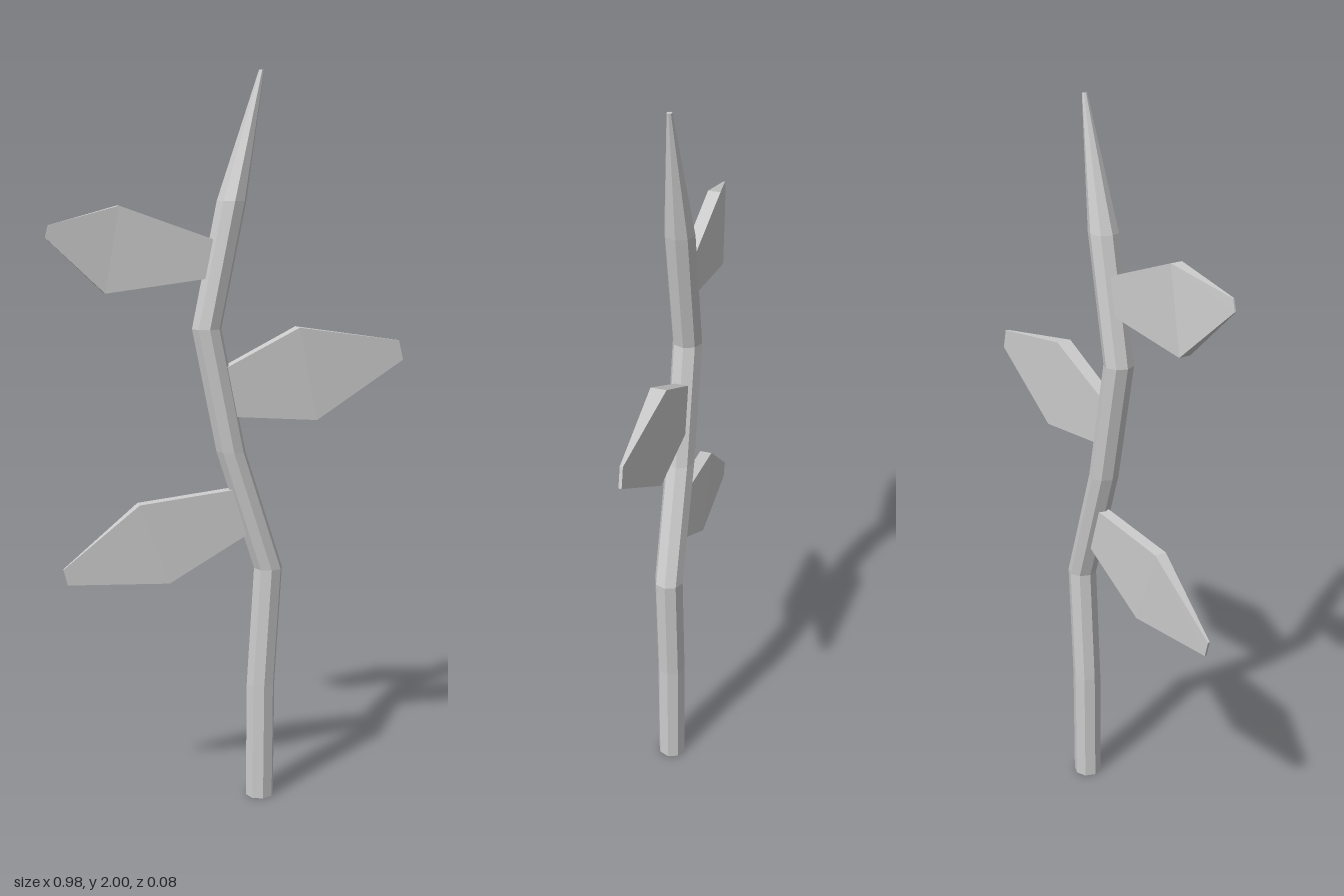
import * as THREE from 'three';

const material = new THREE.MeshStandardMaterial({ color: 0xcccccc, flatShading: true });

// Joins equal-sized rings of points (anticlockwise seen from the last ring) and caps both ends.
function loft(name, rings) {
  const n = rings[0].length;
  const index = [];
  for (let i = 0; i < rings.length - 1; i++) {
    for (let k = 0; k < n; k++) {
      const a = i * n + k, b = i * n + (k + 1) % n;
      index.push(a, b, b + n, a, b + n, a + n);
    }
  }
  const end = (rings.length - 1) * n;
  for (let k = 1; k < n - 1; k++) {
    index.push(0, k + 1, k);
    index.push(end, end + k, end + k + 1);
  }
  const indexed = new THREE.BufferGeometry();
  indexed.setAttribute('position', new THREE.Float32BufferAttribute(rings.flat(2), 3));
  indexed.setIndex(index);
  const geometry = indexed.toNonIndexed();
  geometry.computeVertexNormals();
  const mesh = new THREE.Mesh(geometry, material);
  mesh.name = name;
  return mesh;
}

// Level octagonal ring of the stem
function stemRing([x, y, r]) {
  return Array.from({ length: 8 }, (_, k) => {
    const a = k * Math.PI / 4;
    return [x + r * Math.cos(a), y, -r * Math.sin(a)];
  });
}

// Leaf from sections [top x, top y, bottom x, bottom y, centre z, half thickness]
function leaf(name, sections) {
  const pointsLeft = sections[2][0] > sections[0][0];
  return loft(name, sections.map(([tx, ty, bx, by, z, t]) => {
    const ring = [[tx, ty, z + t], [bx, by, z + t], [bx, by, z - t], [tx, ty, z - t]];
    return pointsLeft ? ring : ring.reverse();
  }));
}

export function createModel() {
  const model = new THREE.Group();
  model.name = 'sprout';

  // Crooked stem: centre x, height, radius
  model.add(loft('stem', [
    [0.082, 0, 0.04],
    [0.084, 0.333, 0.04],
    [0.104, 0.667, 0.04],
    [-0.002, 1, 0.04],
    [-0.068, 1.333, 0.04],
    [0, 1.667, 0.04],
    [0.08, 2, 0.007],
  ].map(stemRing)));

  // Leaves, rooted inside the stem
  model.add(leaf('upperLeaf', [
    [-0.03, 1.56, -0.045, 1.469, 0, 0.016],
    [-0.30, 1.656, -0.34, 1.432, -0.002, 0.017],
    [-0.484, 1.608, -0.492, 1.577, 0.021, 0.002],
  ]));
  model.add(leaf('middleLeaf', [
    [-0.03, 1.223, -0.015, 1.097, 0, 0.018],
    [0.183, 1.331, 0.235, 1.078, -0.001, 0.021],
    [0.474, 1.287, 0.487, 1.233, -0.003, 0.004],
  ]));
  model.add(leaf('lowerLeaf', [
    [0.025, 0.897, 0.06, 0.778, 0, 0.016],
    [-0.257, 0.866, -0.177, 0.644, 0, 0.017],
    [-0.463, 0.698, -0.452, 0.654, 0, 0.003],
  ]));

  return model;
}
